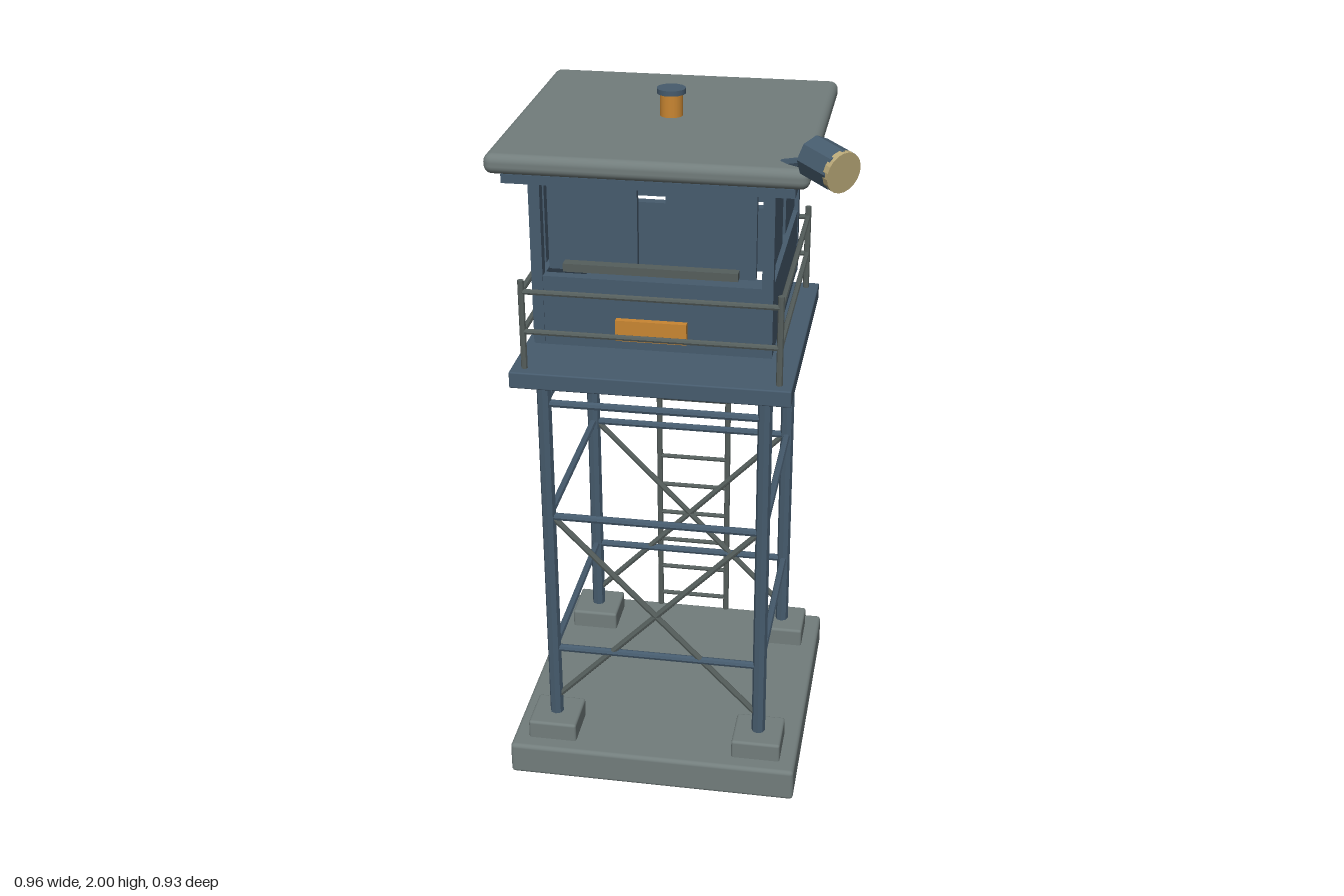
import * as THREE from 'three';
import { RoundedBoxGeometry } from 'three/addons/geometries/RoundedBoxGeometry.js';

const material = (name, color) => {
  const m = new THREE.MeshStandardMaterial({ color });
  m.name = name;
  return m;
};

export function createModel() {
  const steel = material('blue steel', 0x465b6d);
  const concrete = material('grey concrete', 0x727d7c);
  const rail = material('dark grey rail', 0x555e5c);
  const orange = material('orange', 0xc98632);
  const lensTan = material('lens tan', 0xb9a878);

  const model = new THREE.Group();
  model.name = 'watchtower';
  // everything but the searchlight is centred on the tower's own axis
  const tower = new THREE.Group();
  tower.name = 'tower';
  tower.position.set(-0.057, 0, -0.047);
  model.add(tower);

  const add = (parent, name, geometry, mat) => {
    const mesh = new THREE.Mesh(geometry, mat);
    mesh.name = name;
    parent.add(mesh);
    return mesh;
  };
  const box = (parent, name, mat, [w, h, d], [x, y, z], radius = 0) => {
    const g = radius ? new RoundedBoxGeometry(w, h, d, 3, radius) : new THREE.BoxGeometry(w, h, d);
    const mesh = add(parent, name, g, mat);
    mesh.position.set(x, y, z);
    return mesh;
  };
  // faceted rod between two points
  const rod = (parent, name, mat, from, to, radius, sides = 8) => {
    const a = new THREE.Vector3(...from), b = new THREE.Vector3(...to);
    const axis = b.clone().sub(a);
    const g = new THREE.CylinderGeometry(radius, radius, axis.length(), sides).toNonIndexed();
    g.computeVertexNormals();
    const mesh = add(parent, name, g, mat);
    mesh.position.copy(a).add(b).multiplyScalar(0.5);
    mesh.quaternion.setFromUnitVectors(new THREE.Vector3(0, 1, 0), axis.normalize());
    return mesh;
  };

  // slabs
  box(tower, 'baseSlab', concrete, [0.844, 0.1, 0.844], [0, 0.05, 0], 0.012);
  box(tower, 'platform', steel, [0.76, 0.047, 0.76], [0, 1.28, 0], 0.004);
  box(tower, 'eaveBoard', steel, [0.75, 0.024, 0.75], [0, 1.843, 0]);
  box(tower, 'roof', concrete, [0.824, 0.053, 0.824], [0, 1.889, 0], 0.022);

  // corners: footing, leg, cabin post, railing post
  const leg = 0.304, fence = 0.344;
  for (const sx of [-1, 1]) for (const sz of [-1, 1]) {
    box(tower, 'footing', concrete, [0.143, 0.066, 0.143], [sx * leg, 0.123, sz * leg], 0.008);
    rod(tower, 'leg', steel, [sx * leg, 0.15, sz * leg], [sx * leg, 1.26, sz * leg], 0.02);
    box(tower, 'cabinPost', steel, [0.03, 0.5, 0.03], [sx * 0.305, 1.62, sz * 0.305]);
    rod(tower, 'railingPost', rail, [sx * fence, 1.3, sz * fence], [sx * fence, 1.556, sz * fence], 0.009);
  }

  // four sides: walls, windows, railings and braces
  for (let i = 0; i < 4; i++) {
    const side = new THREE.Group();
    side.name = ['front', 'left', 'back', 'right'][i] + 'Side';
    side.rotation.y = i * Math.PI / 2;
    tower.add(side);
    box(side, 'cabinWall', steel, [0.636, 0.195, 0.03], [0, 1.464, 0.303]);
    for (const s of [-1, 1])
      box(side, 'windowPane', steel, [0.236, 0.25, 0.02], [s * 0.155, 1.706, 0.3]);
    for (const y of [1.41, 1.524])
      rod(side, 'railingBar', rail, [-fence, y, fence], [fence, y, fence], 0.008);
    for (const y of [0.382, 0.826, 1.182])
      rod(side, 'horizontalBrace', steel, [-leg, y, leg], [leg, y, leg], 0.011);
    // crossed braces on the front and back only
    if (i % 2 === 0) for (const s of [-1, 1])
      rod(side, 'diagonalBrace', rail, [-s * leg, 0.835, leg], [s * leg, 0.205, leg], 0.009);
  }

  // front sill and sign plate
  box(tower, 'windowSill', rail, [0.46, 0.022, 0.03], [0, 1.597, 0.325]);
  box(tower, 'signPlate', orange, [0.19, 0.058, 0.018], [0, 1.426, 0.328]);

  // ladder up the back
  const ladder = new THREE.Group();
  ladder.name = 'ladder';
  ladder.position.z = -0.382;
  tower.add(ladder);
  for (const s of [-1, 1])
    rod(ladder, 'ladderRail', rail, [s * 0.109, 0.12, 0], [s * 0.109, 1.3, 0], 0.009);
  for (let i = 0; i < 11; i++) {
    const y = 0.165 + i * 0.1027;
    rod(ladder, 'ladderRung', rail, [-0.109, y, 0], [0.109, y, 0], 0.007);
  }

  // roof vent
  add(tower, 'ventPipe', new THREE.CylinderGeometry(0.031, 0.031, 0.075, 20), orange).position.y = 1.942;
  add(tower, 'ventCap', new THREE.CylinderGeometry(0.039, 0.039, 0.014, 20), steel).position.y = 1.983;

  // searchlight on the front left corner of the roof
  const light = new THREE.Group();
  light.name = 'searchlight';
  model.add(light);
  rod(light, 'lightArm', steel, [0.28, 1.905, 0.287], [0.375, 1.945, 0.365], 0.013);
  rod(light, 'lightBody', steel, [0.362, 1.951, 0.351], [0.435, 1.939, 0.422], 0.054);
  const lens = rod(light, 'lightLens', lensTan, [0.43, 1.94, 0.417], [0.442, 1.938, 0.429], 0.052, 20);
  lens.renderOrder = 0;

  return model;
}
